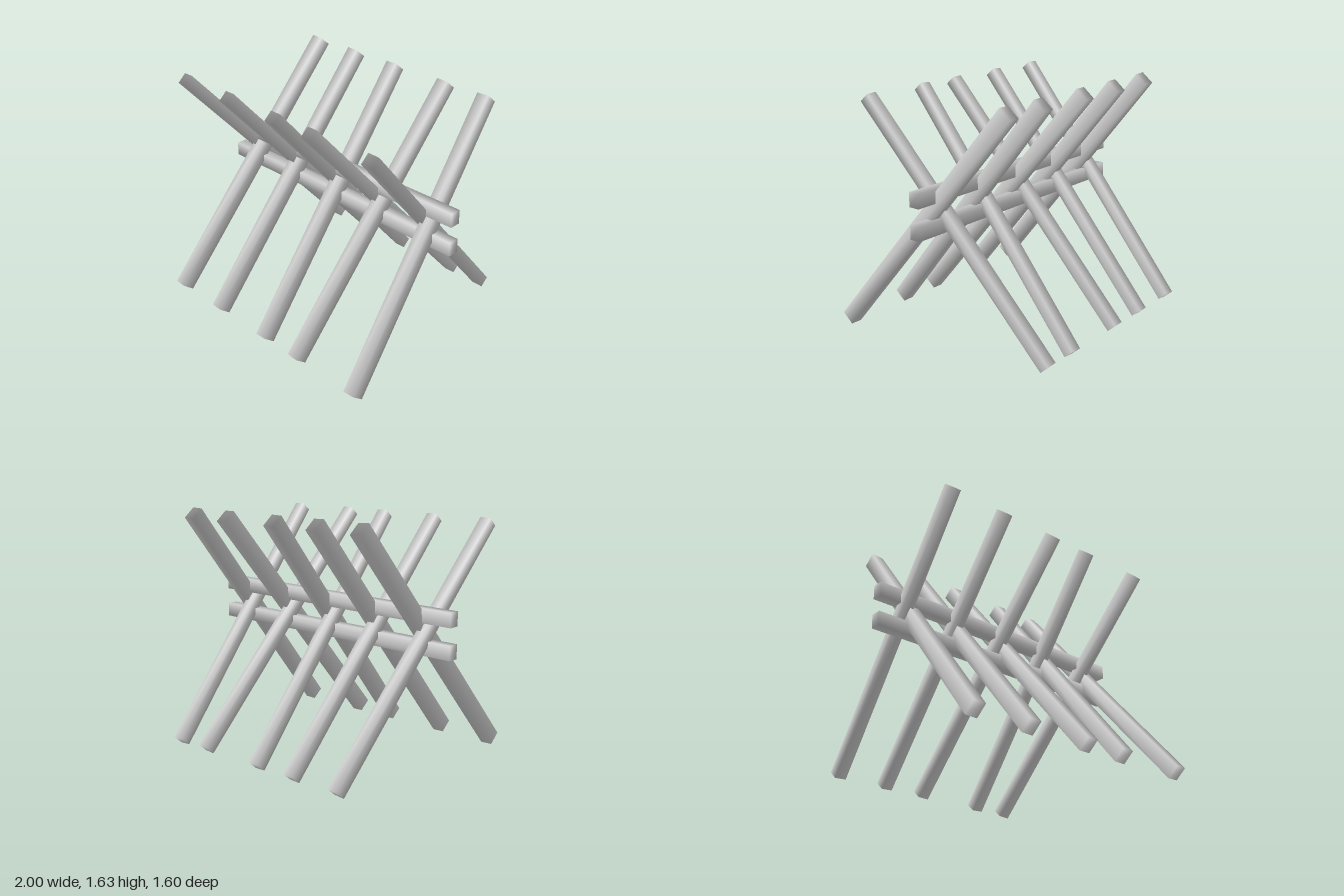
import * as THREE from 'three';
import { mergeVertices } from 'three/addons/utils/BufferGeometryUtils.js';

const material = new THREE.MeshStandardMaterial({ color: 0xcccccc });

// Rectangular beam between two end centres, with softly shaded long edges
function beam(name, from, to, width, depth) {
  const a = new THREE.Vector3(...from), b = new THREE.Vector3(...to);
  const dir = b.clone().sub(a);
  const length = dir.length();
  dir.normalize();

  let geometry = new THREE.BoxGeometry(width, length, depth);
  geometry.deleteAttribute('normal');
  geometry.deleteAttribute('uv');
  geometry = mergeVertices(geometry);
  geometry.computeVertexNormals();

  // Keep one pair of sides facing along x (or z for the rails)
  const side = Math.abs(dir.x) > 0.9 ? new THREE.Vector3(0, 0, 1) : new THREE.Vector3(1, 0, 0);
  side.addScaledVector(dir, -side.dot(dir)).normalize();
  const third = side.clone().cross(dir);

  const mesh = new THREE.Mesh(geometry, material);
  mesh.name = name;
  mesh.quaternion.setFromRotationMatrix(new THREE.Matrix4().makeBasis(side, dir, third));
  mesh.position.copy(a).add(b).multiplyScalar(0.5);
  return mesh;
}

export function createModel() {
  const model = new THREE.Group();
  model.name = 'crossedStakeBarrier';

  // Two long rails, above and below the crossings
  model.add(beam('upperRail', [-1, 1.02, 0.006], [1, 1.033, 0.008], 0.074, 0.095));
  model.add(beam('lowerRail', [-1, 0.814, 0.006], [1, 0.827, 0.008], 0.074, 0.095));

  // Thick stakes: foot at the front, tip at the back [footX, tipX]
  [[-0.81, -0.7], [-0.4, -0.35], [0.06, 0.01], [0.367, 0.447], [0.87, 0.77]].forEach(([foot, tip]) => {
    model.add(beam('thickStake', [foot, 0.035, 0.76], [tip, 1.593, -0.535], 0.083, 0.1));
  });

  // Thin stakes: foot at the back, tip at the front [footX, tipX]
  [[-0.725, -0.855], [-0.36, -0.43], [-0.053, 0], [0.435, 0.318], [0.69, 0.805]].forEach(([foot, tip]) => {
    model.add(beam('thinStake', [foot, 0.055, -0.765], [tip, 1.565, 0.57], 0.079, 0.078));
  });

  return model;
}
